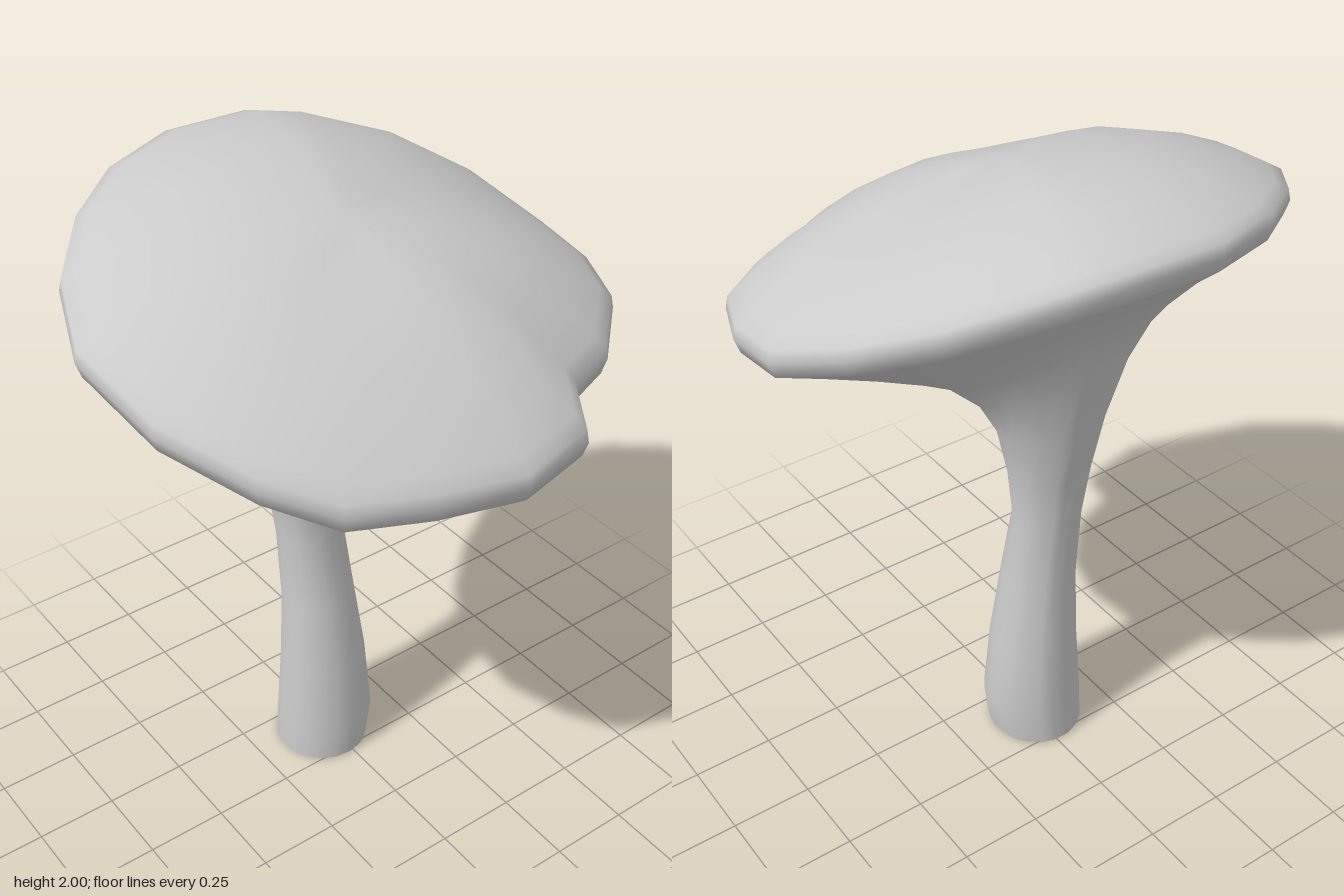
import * as THREE from 'three';

// Cap rim: x, height, z, once around
const RIM = [
  [0.12, 1.58, -0.77], [0.30, 1.56, -0.70], [0.46, 1.53, -0.53], [0.53, 1.53, -0.35],
  [0.66, 1.47, -0.28], [0.71, 1.46, -0.04], [0.64, 1.46, 0.20], [0.56, 1.48, 0.43],
  [0.41, 1.54, 0.58], [0.19, 1.64, 0.73], [-0.10, 1.72, 0.77], [-0.33, 1.79, 0.68],
  [-0.51, 1.85, 0.53], [-0.64, 1.89, 0.35], [-0.715, 1.91, 0.12], [-0.70, 1.91, -0.14],
  [-0.65, 1.88, -0.30], [-0.51, 1.80, -0.54], [-0.32, 1.71, -0.69], [-0.08, 1.61, -0.775],
];

// Stem sections: height, x min, x max, z min, z max, slope along x
const STEM = [
  [0.005, -0.275, 0.025, -0.125, 0.165, 0],
  [0.13, -0.27, 0.025, -0.145, 0.165, 0],
  [0.35, -0.255, 0.01, -0.125, 0.15, 0],
  [0.60, -0.24, -0.015, -0.09, 0.14, 0],
  [0.84, -0.25, -0.055, -0.07, 0.14, 0],
  [1.00, -0.275, -0.035, -0.085, 0.16, -0.1],
  [1.16, -0.315, 0.0, -0.115, 0.19, -0.3],
  [1.30, -0.36, 0.015, -0.18, 0.25, -0.66],
];

const HUB = 1.68; // height of the rim plane at the middle

export function createModel() {
  const n = RIM.length;
  const rings = [];
  const addRing = (fn) => rings.push(RIM.map(fn));

  // Stem, flaring into the slanted neck
  const stemPoint = ([y, x0, x1, z0, z1, slope], p) => {
    const a = Math.atan2(p[2], p[0]);
    const dx = Math.cos(a) * (x1 - x0) / 2;
    return [(x0 + x1) / 2 + dx, y + slope * dx, (z0 + z1) / 2 + Math.sin(a) * (z1 - z0) / 2];
  };
  for (const s of STEM) addRing((p) => stemPoint(s, p));
  const neck = STEM.length - 1;

  // Underside funnel from the neck to the lower lip
  for (const t of [0.15, 0.33, 0.55, 0.78, 0.92, 1]) {
    addRing((p) => {
      const a = stemPoint(STEM[neck], p);
      const b = [p[0] * 0.98, p[1] - 0.045, p[2] * 0.98];
      return [
        a[0] + (b[0] - a[0]) * t,
        a[1] + (b[1] - a[1]) * Math.pow(t, 0.68),
        a[2] + (b[2] - a[2]) * t,
      ];
    });
  }

  // Lip and shallow dome
  addRing((p) => p);
  for (const s of [0.99, 0.94, 0.85, 0.7, 0.52, 0.34, 0.16]) {
    addRing((p) => [
      p[0] * s,
      HUB + (p[1] - HUB) * s + 0.03 + 0.22 * (1 - Math.pow(s, 2.5)),
      p[2] * s,
    ]);
  }

  // Skin the rings and close the top with a fan
  const skin = (from, to) => {
    const index = [];
    for (let r = from; r < to; r++) {
      for (let i = 0; i < n; i++) {
        const j = (i + 1) % n;
        const a = r * n + i, b = r * n + j, c = a + n, d = b + n;
        index.push(a, c, b, b, c, d);
      }
    }
    return index;
  };
  const last = rings.length - 1;
  const apex = rings.length * n;
  const stemIndex = skin(0, neck);
  const capIndex = skin(neck, last);
  for (let i = 0; i < n; i++) capIndex.push(last * n + i, apex, last * n + (i + 1) % n);

  // Normals are shared so stem and cap flow smoothly together
  const whole = new THREE.BufferGeometry();
  const positions = [...rings.flat(2), 0, HUB + 0.25, 0];
  whole.setAttribute('position', new THREE.Float32BufferAttribute(positions, 3));
  whole.setIndex([...stemIndex, ...capIndex]);
  whole.computeVertexNormals();

  const material = new THREE.MeshStandardMaterial({ color: 0xcccccc, side: THREE.DoubleSide });
  const group = new THREE.Group();
  group.name = 'mushroom';
  for (const [name, index] of [['stem', stemIndex], ['cap', capIndex]]) {
    const geometry = new THREE.BufferGeometry();
    geometry.setAttribute('position', whole.getAttribute('position'));
    geometry.setAttribute('normal', whole.getAttribute('normal'));
    geometry.setIndex(index);
    const mesh = new THREE.Mesh(geometry, material);
    mesh.name = name;
    group.add(mesh);
  }
  return group;
}
